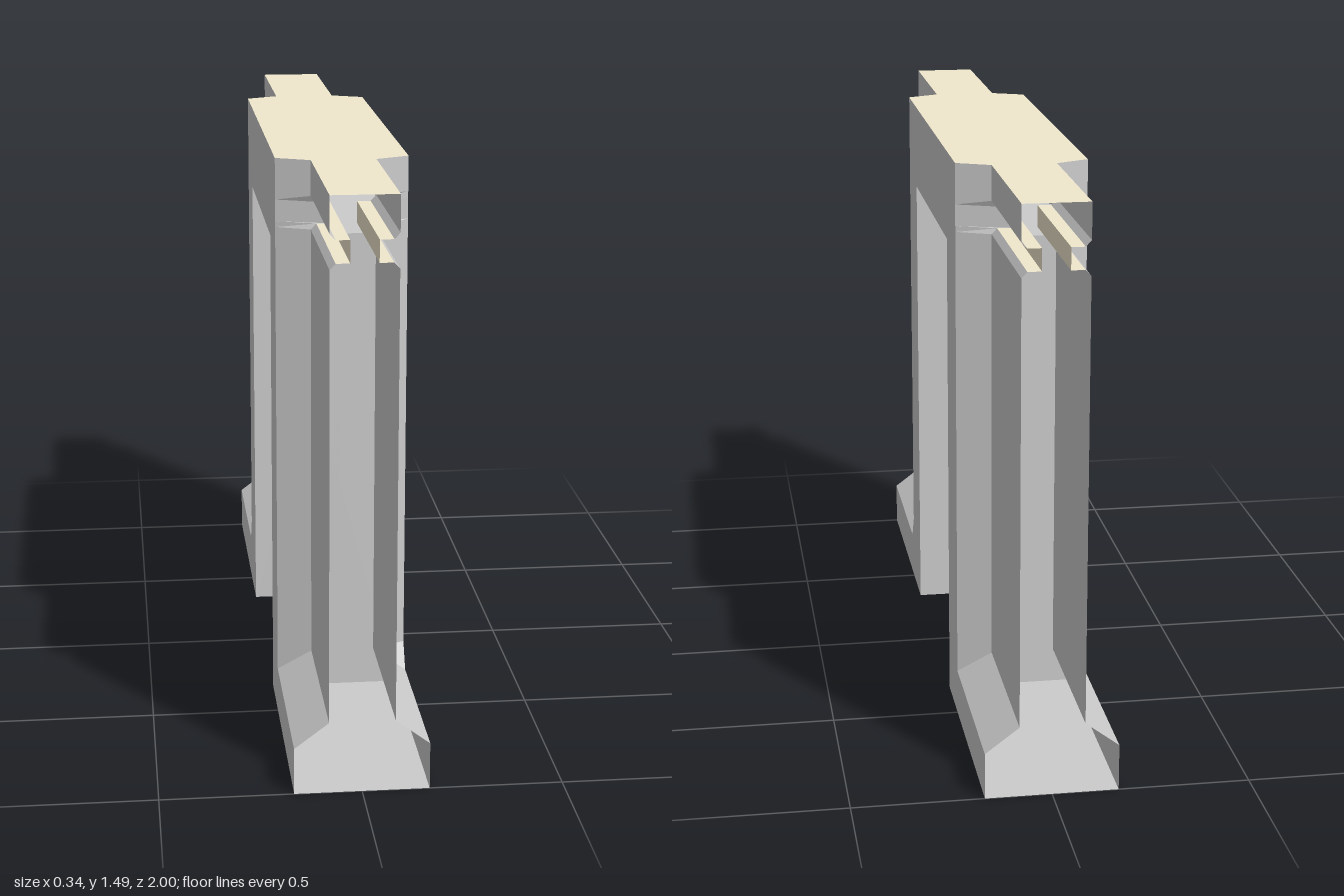
import * as THREE from 'three';

const W = 0.168;        // half width of the wall
const NECK = 0.082;     // half width of the recessed end bays
const TOP = 1.49;
const DOOR = { z: 0.335, y: 1.26 };

const grey = new THREE.MeshStandardMaterial({ color: 0xcccccc, flatShading: true, side: THREE.DoubleSide });
const cream = new THREE.MeshStandardMaterial({ color: 0xf0e8cc, flatShading: true, side: THREE.DoubleSide });

// Half cross-section of an end bay: plinth, sloped sill, wall, groove, coping
const lower = [[W, 0], [W, 0.12], [NECK, 0.185], [NECK, 1.315], [0.068, 1.33]];
const groove = [[0.068, 1.33], [0.034, 1.33], [0.034, 1.385], [0.068, 1.385]];
const upper = [[0.068, 1.385], [NECK, 1.4], [NECK, TOP]];

// Mesh from a list of quads, each four corners anticlockwise from outside
function quadMesh(name, quads, material = grey) {
  const pos = [];
  for (const [a, b, c, d] of quads) pos.push(...a, ...b, ...c, ...a, ...c, ...d);
  const g = new THREE.BufferGeometry();
  g.setAttribute('position', new THREE.Float32BufferAttribute(pos, 3));
  g.computeVertexNormals();
  const mesh = new THREE.Mesh(g, material);
  mesh.name = name;
  return mesh;
}

// Skin between two cross-section rows, mirrored to any of the four corners
function skin(profile, rowA, rowB, sx, sz) {
  const quads = [];
  for (let i = 0; i < profile.length - 1; i++) {
    const [p, q] = [profile[i], profile[i + 1]];
    const quad = [rowA(p), rowB(p), rowB(q), rowA(q)].map(([x, y, z]) => [x * sx, y, z * sz]);
    quads.push(sx * sz > 0 ? quad : quad.reverse());
  }
  return quads;
}

export function createModel() {
  const model = new THREE.Group();
  const end = ([x, y]) => [x, y, 1];
  const inner = ([x, y]) => [x, y, 0.54];
  const flush = ([, y]) => [W, y, 0.5];

  for (const sx of [1, -1]) {
    // Recessed end bays and the splayed returns that join them to the middle
    for (const sz of [1, -1]) {
      const bay = new THREE.Group();
      bay.name = 'endBay';
      bay.add(quadMesh('bayWall', skin(lower, end, inner, sx, sz)));
      bay.add(quadMesh('bayGroove', skin(groove, end, inner, sx, sz), cream));
      bay.add(quadMesh('bayCoping', skin(upper, end, inner, sx, sz)));
      bay.add(quadMesh('splayedReturn', skin([...lower, ...groove.slice(1), ...upper.slice(1)], inner, flush, sx, sz)));
      model.add(bay);
    }

    // Thick middle face, notched by the doorway
    const face = new THREE.Shape([
      [-0.5, 0], [-DOOR.z, 0], [-DOOR.z, DOOR.y], [DOOR.z, DOOR.y],
      [DOOR.z, 0], [0.5, 0], [0.5, TOP], [-0.5, TOP],
    ].map(([x, y]) => new THREE.Vector2(x, y)));
    const middle = new THREE.Mesh(new THREE.ShapeGeometry(face), grey);
    middle.name = 'middleFace';
    middle.rotation.y = sx * Math.PI / 2;
    middle.position.x = sx * W;
    model.add(middle);
  }

  // Jambs and undersides, either side of the doorway
  for (const s of [1, -1]) {
    const z = s * DOOR.z;
    const jamb = [[W, 0, z], [-W, 0, z], [-W, DOOR.y, z], [W, DOOR.y, z]];
    const base = [[-W, 0, z], [W, 0, z], [W, 0, s], [-W, 0, s]];
    model.add(quadMesh('doorJamb', [s > 0 ? jamb : jamb.reverse()]));
    model.add(quadMesh('base', [s > 0 ? base : base.reverse()]));
  }
  model.add(quadMesh('doorHead', [[
    [-W, DOOR.y, -DOOR.z], [W, DOOR.y, -DOOR.z], [W, DOOR.y, DOOR.z], [-W, DOOR.y, DOOR.z],
  ]]));

  // Thin door leaf
  const door = new THREE.Mesh(new THREE.BoxGeometry(0.024, DOOR.y, DOOR.z * 2), grey);
  door.name = 'doorPanel';
  door.position.y = DOOR.y / 2;
  model.add(door);

  // Flat top following the plan outline
  const quarter = [[NECK, 1], [NECK, 0.54], [W, 0.5]];
  const side = [...quarter, ...quarter.map(([x, z]) => [x, -z]).reverse()];
  const plan = [...side, ...side.map(([x, z]) => [-x, -z])];
  const top = new THREE.Mesh(
    new THREE.ShapeGeometry(new THREE.Shape(plan.map(([x, z]) => new THREE.Vector2(x, z)))), cream);
  top.name = 'wallTop';
  top.rotation.x = -Math.PI / 2;
  top.position.y = TOP;
  model.add(top);

  return model;
}
